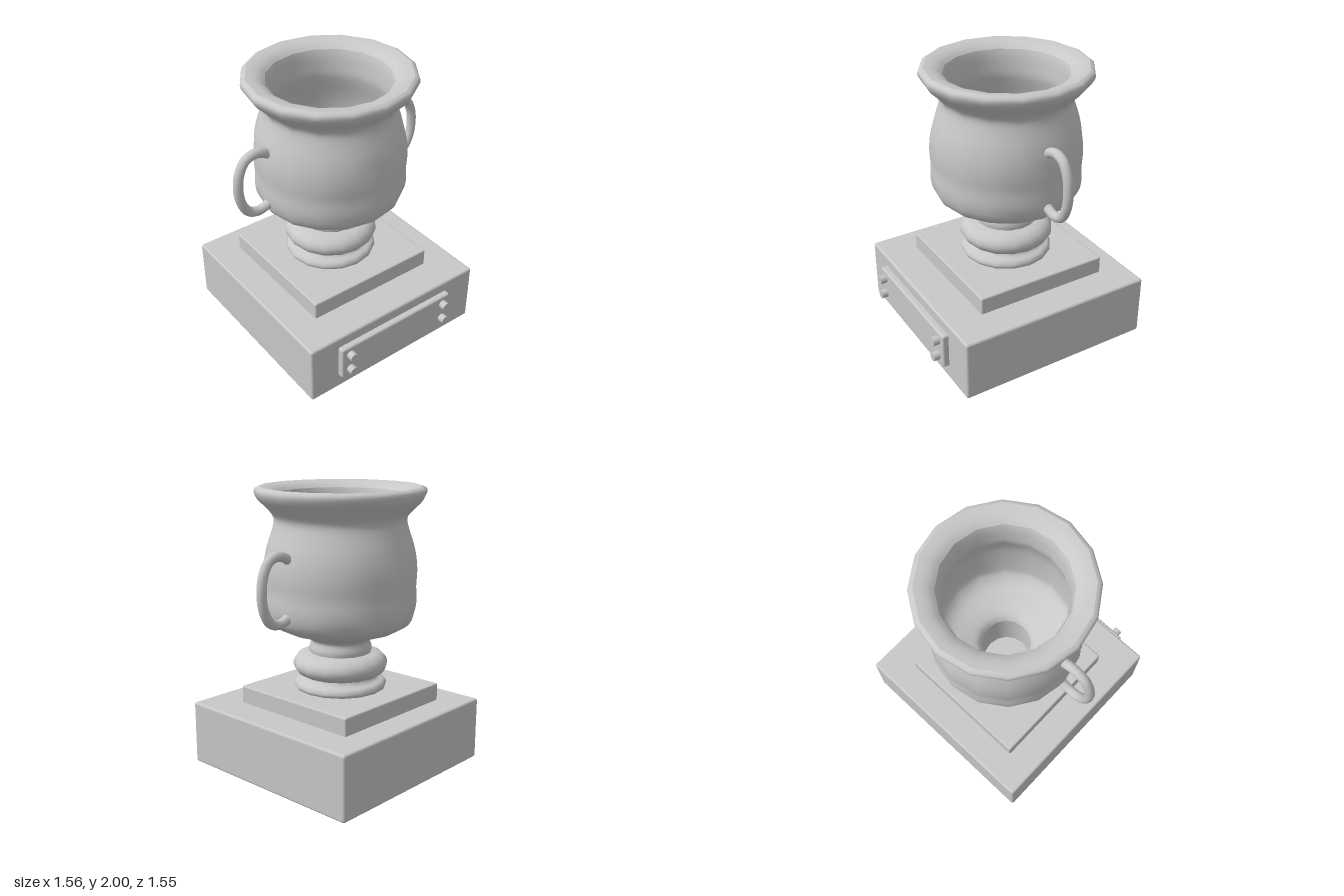
import * as THREE from 'three';
import { RoundedBoxGeometry } from 'three/addons/geometries/RoundedBoxGeometry.js';

const AXIS_Z = -0.07; // the cup's centre line

export function createModel() {
  const model = new THREE.Group();
  model.name = 'trophy';
  const grey = new THREE.MeshStandardMaterial({ color: 0xc8c8c8 });
  grey.name = 'plain grey';

  const add = (name, geometry, x = 0, y = 0, z = 0) => {
    const mesh = new THREE.Mesh(geometry, grey);
    mesh.name = name;
    mesh.position.set(x, y, z);
    model.add(mesh);
    return mesh;
  };

  // Box given by its limits, with softened edges
  const block = (name, [x0, x1], [y0, y1], [z0, z1], r) =>
    add(name, new RoundedBoxGeometry(x1 - x0, y1 - y0, z1 - z0, 3, r),
      (x0 + x1) / 2, (y0 + y1) / 2, (z0 + z1) / 2);

  // Smooth curve through [radius, height] pairs
  const smooth = (pairs, n) =>
    new THREE.SplineCurve(pairs.map(([r, y]) => new THREE.Vector2(r, y))).getPoints(n);

  // Sixteen-sided turned part
  const turned = (name, points) =>
    add(name, new THREE.LatheGeometry(points, 16), 0, 0, AXIS_Z);

  // Stepped base
  block('base', [-0.72, 0.74], [0, 0.455], [-0.775, 0.685], 0.018);
  block('plinth', [-0.5, 0.5], [0.44, 0.58], [-0.57, 0.43], 0.012);

  // Plaque with four screws
  block('plaque', [-0.495, 0.49], [0.11, 0.375], [0.665, 0.73], 0.016);
  for (const x of [-0.425, 0.42]) {
    for (const y of [0.18, 0.31]) {
      add('screw', new THREE.CylinderGeometry(0.032, 0.032, 0.06, 16), x, y, 0.747)
        .rotation.x = Math.PI / 2;
    }
  }

  // Foot, knop and stem
  turned('foot', smooth([[0.32, 0.578], [0.33, 0.6], [0.315, 0.63], [0.275, 0.648], [0.258, 0.672]], 14));
  turned('knop', smooth([[0.25, 0.67], [0.29, 0.682], [0.325, 0.715], [0.336, 0.755],
    [0.32, 0.795], [0.28, 0.825], [0.22, 0.838]], 20));
  turned('stem', smooth([[0.22, 0.836], [0.223, 0.87], [0.21, 0.92], [0.235, 0.945], [0.3, 0.973],
    [0.38, 1.0]], 14));

  // Bowl outside, up to the rim
  turned('bowl', smooth([[0.375, 0.998], [0.44, 1.025], [0.495, 1.065], [0.525, 1.12], [0.537, 1.2],
    [0.532, 1.3], [0.537, 1.4], [0.53, 1.5], [0.508, 1.6], [0.475, 1.7], [0.46, 1.765],
    [0.475, 1.81], [0.52, 1.86], [0.57, 1.91], [0.593, 1.955], [0.587, 1.985], [0.56, 2.0]], 48));

  // Lip sloping into the mouth
  turned('lip', smooth([[0.56, 2.0], [0.51, 1.992], [0.465, 1.975], [0.432, 1.95]], 8));
  turned('mouthEdge', smooth([[0.432, 1.95], [0.418, 1.9], [0.412, 1.83]], 4));

  // Hollow inside and the shaft through the stem
  turned('bowlInside', smooth([[0.412, 1.83], [0.41, 1.76], [0.43, 1.68], [0.46, 1.58], [0.48, 1.45],
    [0.48, 1.2], [0.46, 1.12], [0.4, 1.06], [0.3, 1.02], [0.21, 0.98], [0.175, 0.93]], 30));
  turned('shaft', [new THREE.Vector2(0.175, 0.93), new THREE.Vector2(0.175, 0.579)]);

  // Mirrored loop handles
  for (const side of [1, -1]) {
    const path = new THREE.CatmullRomCurve3(
      [[0.505, 1.55], [0.55, 1.575], [0.61, 1.586], [0.68, 1.56], [0.73, 1.475], [0.747, 1.36],
        [0.73, 1.245], [0.68, 1.16], [0.61, 1.134], [0.55, 1.145], [0.51, 1.165]]
        .map(([x, y]) => new THREE.Vector3(side * x, y, 0)));
    add(side > 0 ? 'leftHandle' : 'rightHandle',
      new THREE.TubeGeometry(path, 40, 0.034, 12), 0, 0, AXIS_Z);
  }

  return model;
}
